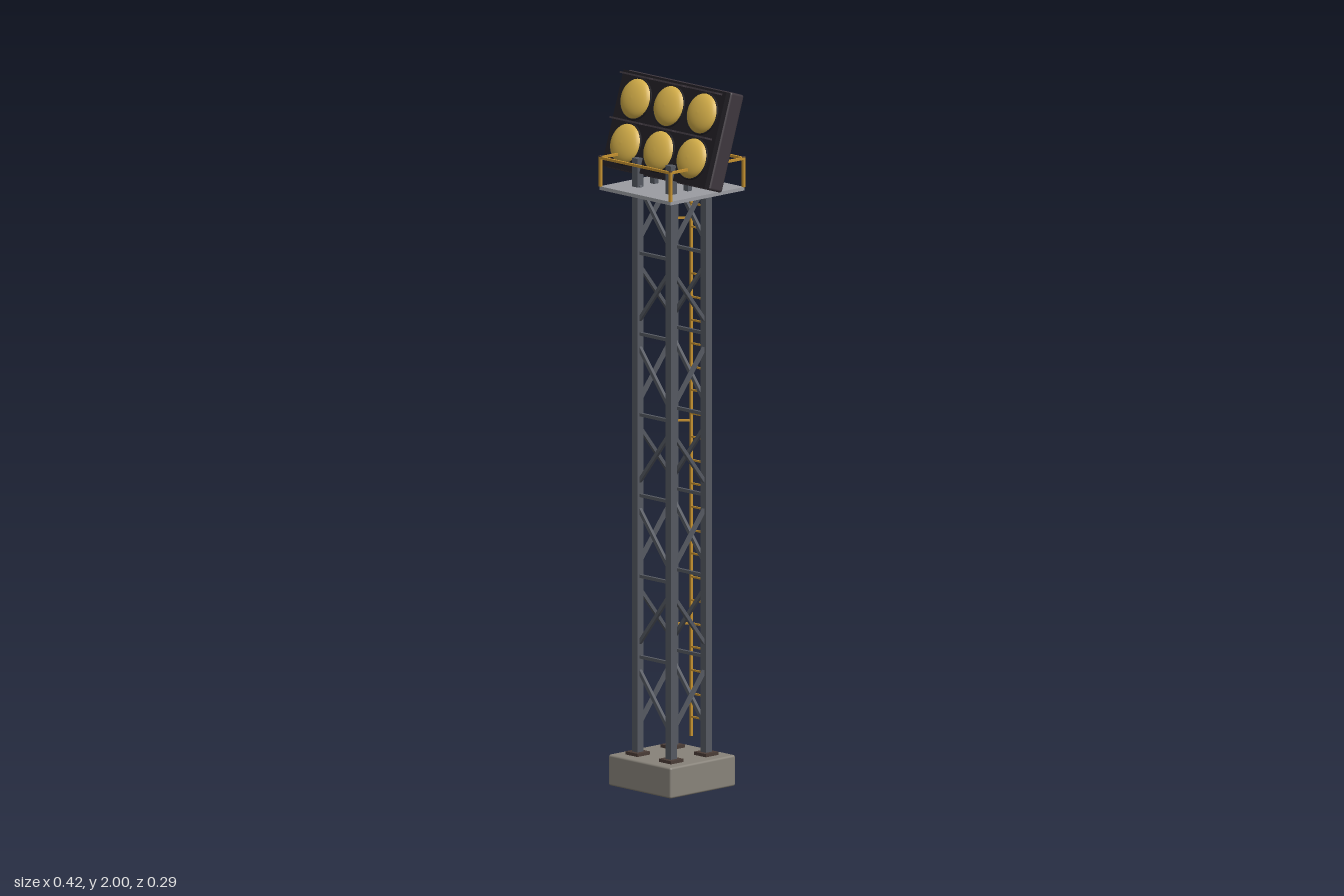
import * as THREE from 'three';
import { RoundedBoxGeometry } from 'three/addons/geometries/RoundedBoxGeometry.js';

const material = (name, color) => {
  const m = new THREE.MeshStandardMaterial({ color });
  m.name = name;
  return m;
};

export function createModel() {
  const concrete = material('concrete', 0x88837a);
  const steel = material('steel', 0x555961);
  const footBrown = material('foot brown', 0x4a3c37);
  const deckGrey = material('deck grey', 0x9b9da2);
  const yellow = material('safety yellow', 0xc4902f);
  const lensYellow = material('lens yellow', 0xd6b04a);
  const housing = material('housing', 0x3d363d);
  const black = material('bezel black', 0x1d1b20);
  const slate = material('back slate', 0x43474c);

  const model = new THREE.Group();
  model.name = 'floodlightTower';
  const group = (name, parent = model) => {
    const g = new THREE.Group();
    g.name = name;
    parent.add(g);
    return g;
  };
  const add = (parent, name, geometry, mat, x, y, z) => {
    const mesh = new THREE.Mesh(geometry, mat);
    mesh.name = name;
    mesh.position.set(x, y, z);
    parent.add(mesh);
    return mesh;
  };
  const box = (parent, name, mat, w, h, d, x, y, z) =>
    add(parent, name, new THREE.BoxGeometry(w, h, d), mat, x, y, z);
  // Square bar between two points
  const bar = (parent, name, mat, a, b, t) => {
    const p = new THREE.Vector3(...a), q = new THREE.Vector3(...b);
    const mid = p.clone().add(q).multiplyScalar(0.5);
    const mesh = box(parent, name, mat, t, t, p.distanceTo(q), mid.x, mid.y, mid.z);
    mesh.lookAt(q);
    return mesh;
  };

  // Footing
  add(model, 'footing', new RoundedBoxGeometry(0.25, 0.088, 0.25, 2, 0.006), concrete, 0, 0.044, 0);

  // Mast: four legs with zigzag bracing
  const mast = group('mast');
  const L = 0.067;
  for (const sx of [-1, 1]) for (const sz of [-1, 1]) {
    box(mast, 'leg', steel, 0.023, 1.69, 0.023, sx * L, 0.935, sz * L);
    box(mast, 'footPlate', footBrown, 0.048, 0.01, 0.048, sx * L, 0.092, sz * L);
  }
  const bay = 0.229, start = 0.138;
  for (let i = 0; i < 7; i++) {
    const low = start + i * bay + 0.03, high = start + (i + 1) * bay - 0.03;
    const s = i % 2 ? -1 : 1;
    for (const side of [-L, L]) {
      bar(mast, 'frontBrace', steel, [s * L, low, side], [-s * L, high, side], 0.01);
      bar(mast, 'sideBrace', steel, [side, low, s * L], [side, high, -s * L], 0.01);
      if (i > 0) box(mast, 'crossBar', steel, 2 * L, 0.009, 0.009, 0, start + i * bay, side);
    }
  }

  // Ladder on the back
  const ladder = group('ladder');
  const ladderZ = -0.106;
  for (const x of [-0.034, 0.034]) {
    box(ladder, 'ladderRail', yellow, 0.006, 1.605, 0.008, x, 0.9225, ladderZ);
    for (const y of [0.44, 1.015, 1.59])
      bar(ladder, 'standoff', yellow, [x, y, ladderZ], [Math.sign(x) * L, y, -L], 0.006);
  }
  for (let y = 0.175; y < 1.73; y += 0.0662)
    box(ladder, 'rung', yellow, 0.068, 0.005, 0.005, 0, y, ladderZ);
  box(ladder, 'topRung', yellow, 0.074, 0.006, 0.006, 0, 1.725, ladderZ);

  // Platform and guard rail
  const platform = group('platform');
  box(platform, 'deck', deckGrey, 0.284, 0.01, 0.284, 0, 1.694, 0);
  const R = 0.14, railY = 1.78;
  for (const s of [-1, 1]) {
    box(platform, 'crossRail', yellow, 2 * R, 0.007, 0.007, 0, railY, s * R);
    box(platform, 'sideRail', yellow, 0.007, 0.007, 2 * R, s * R, railY, 0);
    for (const sz of [-1, 1]) {
      box(platform, 'railPost', yellow, 0.0075, 0.085, 0.0075, s * R, 1.741, sz * R);
      box(platform, 'postCap', footBrown, 0.008, 0.003, 0.008, s * R, 1.7845, sz * R);
    }
  }

  // Mounting arms between rear legs and lamp panel
  const mount = group('mount');
  for (const s of [-1, 1]) {
    box(mount, 'mountArm', steel, 0.018, 0.022, 0.06, s * L, 1.768, -0.037);
    box(mount, 'mountFoot', steel, 0.018, 0.05, 0.016, s * L, 1.724, 0.004);
  }

  // Lamp panel, tilted back
  const panel = group('lampPanel');
  panel.position.set(0, 1.857, -0.003);
  panel.rotation.x = -Math.PI / 10;
  add(panel, 'housing', new RoundedBoxGeometry(0.418, 0.278, 0.054, 2, 0.007), housing, 0, 0, -0.008);
  box(panel, 'bezel', black, 0.412, 0.272, 0.017, 0, 0, 0.0265);
  box(panel, 'backPlate', slate, 0.38, 0.245, 0.006, 0, 0, -0.036);
  for (const x of [-0.133, 0, 0.133])
    box(panel, 'backRib', steel, 0.014, 0.25, 0.012, x, 0, -0.041);
  box(panel, 'junctionBox', steel, 0.065, 0.045, 0.028, 0.13, -0.055, -0.052);

  // Lamps: domed lens, rim and visor
  const lensProfile = [];
  for (let i = 0; i <= 8; i++) {
    const a = (i / 8) * Math.PI / 2;
    lensProfile.push(new THREE.Vector2(0.057 * Math.cos(a), 0.022 * Math.sin(a)));
  }
  const lens = new THREE.LatheGeometry(lensProfile, 32).rotateX(Math.PI / 2);
  const rim = new THREE.TorusGeometry(0.058, 0.003, 6, 32);
  for (const x of [-0.133, 0, 0.133]) for (const y of [-0.064, 0.064]) {
    add(panel, 'lens', lens, lensYellow, x, y, 0.034).material.side = THREE.DoubleSide;
    add(panel, 'lensRim', rim, black, x, y, 0.035);
    box(panel, 'visor', housing, 0.118, 0.005, 0.03, x, y + 0.063, 0.047);
  }
  return model;
}
